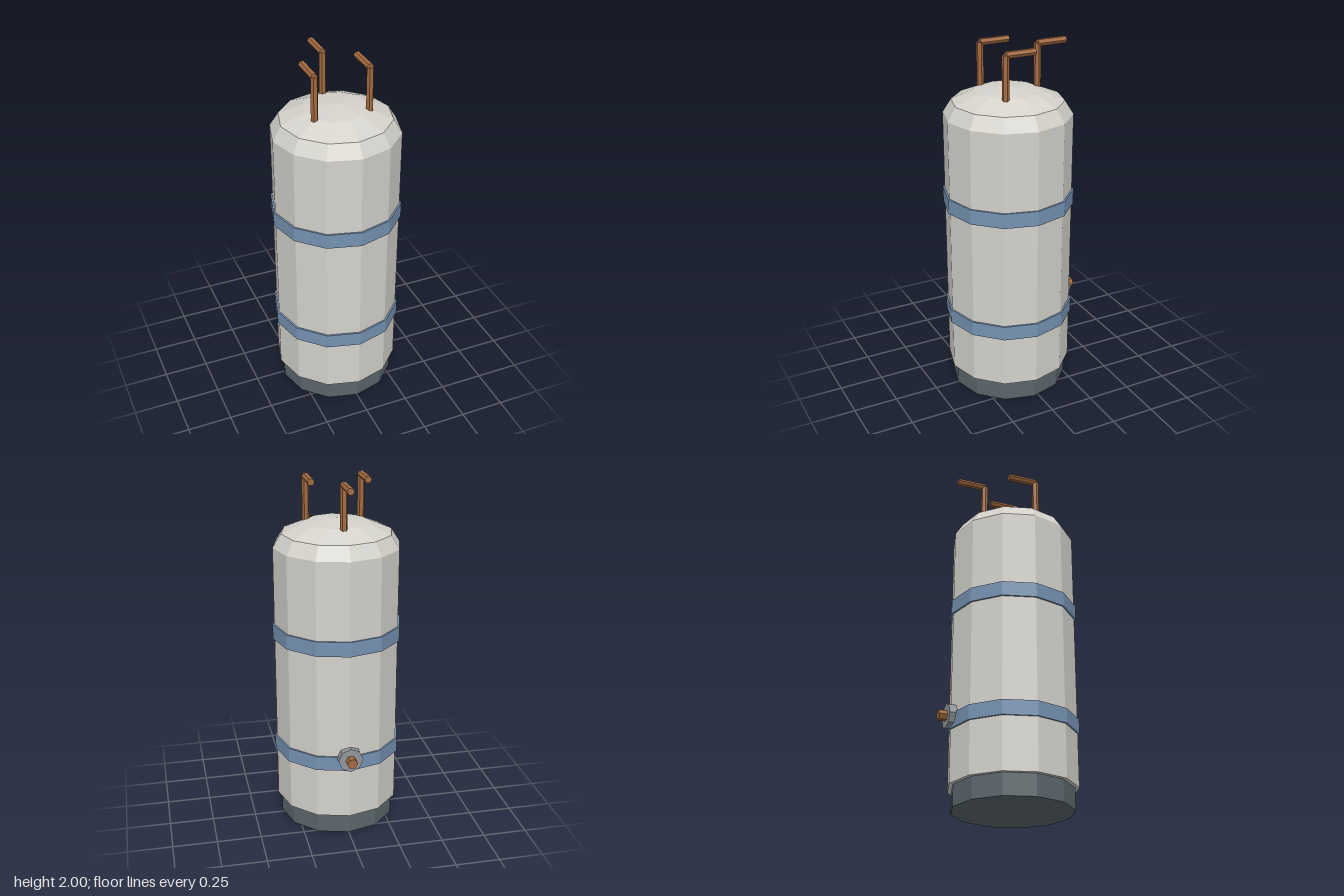
import * as THREE from 'three';

const material = (name, color) => {
  const m = new THREE.MeshStandardMaterial({ color, flatShading: true });
  m.name = name;
  return m;
};

export function createModel() {
  const model = new THREE.Group();
  model.name = 'gasTank';
  const enamel = material('light grey enamel', 0xd4d2cb);
  const blue = material('blue band', 0x7592b2);
  const dark = material('dark base', 0x5a666b);
  const copper = material('copper', 0xa46a40);
  const steel = material('grey steel', 0x90979b);

  const add = (parent, name, geometry, mat) => {
    const mesh = new THREE.Mesh(geometry, mat);
    mesh.name = name;
    parent.add(mesh);
    return mesh;
  };
  // Upright prism between two heights
  const drum = (r, y0, y1, sides) =>
    new THREE.CylinderGeometry(r, r, y1 - y0, sides).translate(0, (y0 + y1) / 2, 0);
  // Prism lying along z, with corners at its left and right
  const rod = (r, z0, z1, sides) =>
    new THREE.CylinderGeometry(r, r, Math.abs(z1 - z0), sides)
      .rotateY(Math.PI / 2).rotateX(Math.PI / 2).translate(0, 0, (z0 + z1) / 2);

  // Vessel, its axis a little forward of the middle
  const vessel = new THREE.Group();
  vessel.name = 'vessel';
  vessel.position.z = 0.027;
  model.add(vessel);
  add(vessel, 'base', drum(0.332, 0, 0.125, 12), dark);

  // Body with a flattened dome
  const profile = [new THREE.Vector2(0, 0.12), new THREE.Vector2(0.354, 0.12)];
  for (let i = 0; i <= 3; i++) {
    const a = (i * Math.PI) / 6;
    profile.push(new THREE.Vector2(i === 3 ? 0 : 0.354 * Math.cos(a), 1.62 + 0.15 * Math.sin(a)));
  }
  add(vessel, 'body', new THREE.LatheGeometry(profile, 12), enamel);
  add(vessel, 'lowerBand', drum(0.364, 0.415, 0.498, 12), blue);
  add(vessel, 'upperBand', drum(0.364, 1.098, 1.182, 12), blue);

  // Three bent pipes on the dome, all turning to the back
  for (const [name, x, z] of [['leftPipe', 0.154, 0.116], ['rightPipe', -0.154, 0.116], ['backPipe', 0, -0.15]]) {
    const pipe = new THREE.Group();
    pipe.name = name;
    pipe.position.set(x, 0, z);
    add(pipe, 'riser', drum(0.02, 1.74, 1.983, 6).rotateY(Math.PI / 2), copper);
    add(pipe, 'outlet', rod(0.02, 0, -0.17, 6).translate(0, 1.983, 0), copper);
    model.add(pipe);
  }

  // Drain fitting low on the back
  const drain = new THREE.Group();
  drain.name = 'drain';
  drain.position.y = 0.488;
  add(drain, 'nut', rod(0.07, -0.3, -0.354, 8), steel);
  add(drain, 'spout', rod(0.03, -0.3, -0.397, 6), copper);
  model.add(drain);
  return model;
}
